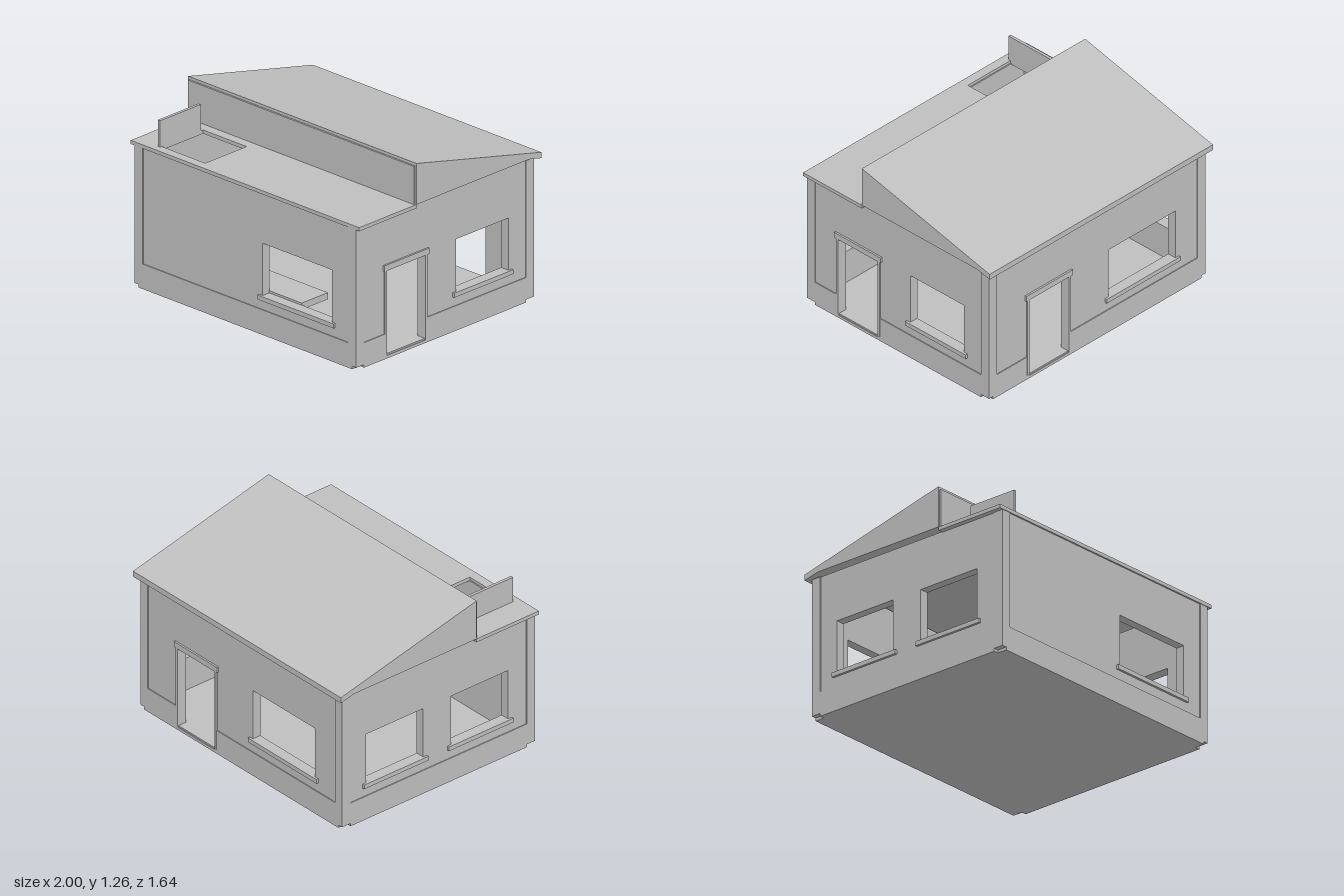
import * as THREE from 'three';

const SKIN = 0.006;   // projection of plinth and pilasters
const BODY = 0.062;   // wall thickness behind them
const Z_FRONT = 0.81, Z_BACK = -0.785, X_SIDE = 0.97;
const WALL_BOTTOM = 0.02, WALL_TOP = 0.965, PLINTH_TOP = 0.17;
const SILL = 0.265, WINDOW_TOP = 0.62, DOOR_BOTTOM = 0.03, DOOR_TOP = 0.6;

export function createModel() {
  const root = new THREE.Group();
  root.name = 'house';
  const grey = new THREE.MeshStandardMaterial({ color: 0xbfbfbf });
  grey.name = 'plain grey';

  const add = (parent, name, geometry) => {
    const mesh = new THREE.Mesh(geometry, grey);
    mesh.name = name;
    parent.add(mesh);
    return mesh;
  };
  // Box given by its minimum and maximum on each axis
  const box = (parent, name, x0, x1, y0, y1, z0, z1) => {
    const mesh = add(parent, name, new THREE.BoxGeometry(x1 - x0, y1 - y0, z1 - z0));
    mesh.position.set((x0 + x1) / 2, (y0 + y1) / 2, (z0 + z1) / 2);
    return mesh;
  };
  const rectangle = (x0, x1, y0, y1, Type = THREE.Shape) => new Type([
    new THREE.Vector2(x0, y0), new THREE.Vector2(x1, y0),
    new THREE.Vector2(x1, y1), new THREE.Vector2(x0, y1),
  ]);
  const extrude = (shape, depth) =>
    new THREE.ExtrudeGeometry(shape, { depth, bevelEnabled: false });

  // One wall: u runs along it, local +z points outward, outer face at z = 0
  function wall(name, half, { windows = [], doors = [] }) {
    const group = new THREE.Group();
    group.name = name;
    root.add(group);

    const panel = rectangle(-half + SKIN, half - SKIN, WALL_BOTTOM, WALL_TOP);
    for (const [a, b] of windows) panel.holes.push(rectangle(a, b, SILL - 0.01, WINDOW_TOP, THREE.Path));
    for (const [a, b] of doors) panel.holes.push(rectangle(a, b, DOOR_BOTTOM, DOOR_TOP, THREE.Path));
    add(group, 'wallPanel', extrude(panel, BODY)).position.z = -BODY - SKIN;

    // Corner pilasters
    for (const s of [-1, 1]) {
      const inner = s * (half - 0.07), outer = s * half;
      box(group, 'cornerPilaster', Math.min(inner, outer), Math.max(inner, outer),
        WALL_BOTTOM, WALL_TOP, -SKIN, 0);
    }

    // Plinth, broken at the doors
    let start = -half;
    for (const [a, b] of [...doors, [half, half]]) {
      box(group, 'plinth', start, a, WALL_BOTTOM, PLINTH_TOP, -SKIN, 0);
      start = b;
    }

    // Window sills run through the wall
    for (const [a, b] of windows) {
      box(group, 'windowSillInner', a, b, SILL - 0.03, SILL, -BODY - SKIN, -SKIN);
      box(group, 'windowSill', a - 0.03, b + 0.03, SILL - 0.03, SILL, -SKIN, 0.01);
    }

    // Door frames
    for (const [a, b] of doors) {
      box(group, 'doorHeader', a - 0.03, b + 0.03, DOOR_TOP, DOOR_TOP + 0.04, -SKIN, 0.007);
      box(group, 'doorJamb', a - 0.018, a, DOOR_BOTTOM, DOOR_TOP, -SKIN, 0.003);
      box(group, 'doorJamb', b, b + 0.018, DOOR_BOTTOM, DOOR_TOP, -SKIN, 0.003);
    }
    return group;
  }

  const zMid = (Z_FRONT + Z_BACK) / 2, halfSide = (Z_FRONT - Z_BACK) / 2;

  const front = wall('frontWall', X_SIDE, { windows: [[0.145, 0.75]] });
  front.position.z = Z_FRONT;

  const back = wall('backWall', X_SIDE, { windows: [[0.105, 0.705]], doors: [[-0.61, -0.255]] });
  back.position.z = Z_BACK;
  back.rotation.y = Math.PI;

  // On the left wall u runs towards -z, on the right wall towards +z
  const left = wall('leftWall', halfSide, {
    windows: [[zMid + 0.09, zMid + 0.56]], doors: [[zMid - 0.535, zMid - 0.19]],
  });
  left.position.set(X_SIDE, 0, zMid);
  left.rotation.y = Math.PI / 2;

  const right = wall('rightWall', halfSide, {
    windows: [[-0.58 - zMid, -0.11 - zMid], [0.12 - zMid, 0.59 - zMid]],
  });
  right.position.set(-X_SIDE, 0, zMid);
  right.rotation.y = -Math.PI / 2;

  // Base with notched corners, and the floor inside
  box(root, 'baseLong', -0.935, 0.935, 0, 0.02, Z_BACK, Z_FRONT);
  box(root, 'baseWide', -X_SIDE, X_SIDE, 0, 0.02, Z_BACK + 0.07, Z_FRONT - 0.07);
  box(root, 'floor', -0.91, 0.91, 0.01, 0.03, Z_BACK + 0.06, Z_FRONT - 0.06);

  // Counter inside, behind the front window
  box(root, 'counter', -0.3, 0.43, 0.235, 0.28, 0.51, 0.745);

  // Flat front roof with a hatch opening and its raised lid
  const flat = rectangle(-1, 1, -0.815, -0.3);
  flat.holes.push(rectangle(-0.79, -0.41, -0.75, -0.38, THREE.Path));
  const flatRoof = add(root, 'flatRoof', extrude(flat, 0.025));
  flatRoof.rotation.x = -Math.PI / 2;
  flatRoof.position.y = 0.96;
  box(root, 'hatchLid', -0.81, -0.79, 0.985, 1.165, 0.4, 0.765);

  // Sloping rear roof, profile in z and y
  const slope = new THREE.Shape([
    [0.3, 0.985], [0.3, 1.265], [-0.82, 1.0], [-0.82, 0.96], [-0.71, 0.985],
  ].map(([z, y]) => new THREE.Vector2(z, y)));
  const slopedRoof = add(root, 'slopedRoof', extrude(slope, 2));
  slopedRoof.rotation.y = -Math.PI / 2;
  slopedRoof.position.x = 1;
  box(root, 'roofFascia', -0.988, 0.988, 0.985, 1.245, 0.3, 0.312);

  return root;
}
